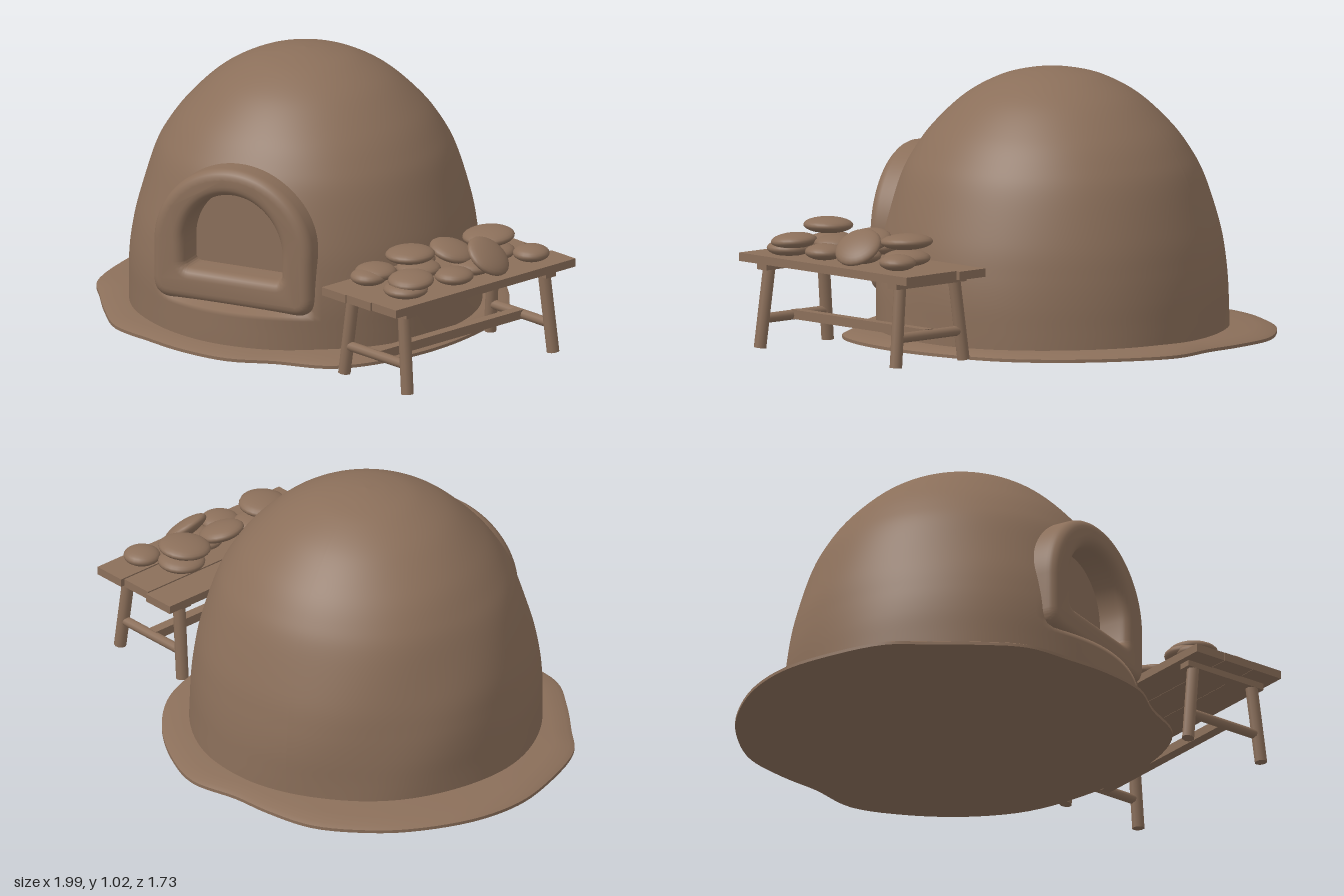
import * as THREE from 'three';
import { toCreasedNormals } from 'three/addons/utils/BufferGeometryUtils.js';

const clay = new THREE.MeshStandardMaterial({ color: 0x8b6f5a });
clay.name = 'brown clay';

const MOUTH_X = -0.185;

function add(parent, geometry, name) {
  const mesh = new THREE.Mesh(geometry, clay);
  mesh.name = name;
  parent.add(mesh);
  return mesh;
}

// Arch outlines: half width, sill height, spring height, top height
const HOLE = { w: 0.205, y0: 0.29, ys: 0.39, yt: 0.6 };
const MID = { w: 0.26, y0: 0.235, ys: 0.385, yt: 0.65 };
const OUTER = { w: 0.325, y0: 0.175, ys: 0.38, yt: 0.69 };
const RIM = { w: 0.335, y0: 0.16, ys: 0.38, yt: 0.705 };

function insideArch(a, x, y) {
  const dx = (x - MOUTH_X) / a.w;
  if (y < a.y0 || Math.abs(dx) > 1) return false;
  return y < a.ys || dx * dx + ((y - a.ys) / (a.yt - a.ys)) ** 2 < 1;
}

function traceArch(path, a, r) {
  path.moveTo(-a.w + r, a.y0);
  path.lineTo(a.w - r, a.y0);
  path.quadraticCurveTo(a.w, a.y0, a.w, a.y0 + r);
  path.lineTo(a.w, a.ys);
  path.absellipse(0, a.ys, a.w, a.yt - a.ys, 0, Math.PI, false, 0);
  path.lineTo(-a.w, a.y0 + r);
  path.quadraticCurveTo(-a.w, a.y0, -a.w + r, a.y0);
  return path;
}

// Dome with a recess pressed in behind the mouth
function domeGeometry() {
  const profile = [[0.668, 0.01], [0.667, 0.1], [0.665, 0.2], [0.655, 0.3], [0.632, 0.42], [0.575, 0.6],
    [0.525, 0.7], [0.452, 0.8], [0.335, 0.91], [0.21, 0.98], [0.1, 1.01], [0, 1.02]];
  const curve = new THREE.SplineCurve(profile.map(p => new THREE.Vector2(...p)));
  const points = curve.getSpacedPoints(80);
  points[80].x = 0;
  const geo = new THREE.LatheGeometry(points, 160, Math.PI);
  geo.translate(-0.175, 0, -0.045);
  const p = geo.attributes.position;
  for (let i = 0; i < p.count; i++) {
    let x = p.getX(i), y = p.getY(i), z = p.getZ(i);
    // gentle hand-moulded unevenness, fading at the crown
    const k = 1 + 0.006 * Math.sin(9 * x + 4 * y) * Math.sin(8 * z - 7 * y) * Math.min(1, (1.02 - y) * 4);
    x = -0.175 + (x + 0.175) * k;
    z = -0.045 + (z + 0.045) * k;
    if (z > 0 && insideArch(OUTER, x, y)) z = Math.min(z, 0.53);
    if (z > 0 && insideArch(MID, x, y)) z = Math.min(z, 0.45);
    p.setXYZ(i, x, y, z);
  }
  geo.computeVertexNormals();
  return geo;
}

// Thick rounded rim around the mouth
function rimGeometry() {
  const shape = traceArch(new THREE.Shape(), RIM, 0.08);
  shape.holes.push(traceArch(new THREE.Path(), HOLE, 0.03));
  const geo = new THREE.ExtrudeGeometry(shape, {
    depth: 0.235, curveSegments: 28, bevelThickness: 0.04, bevelSize: 0.04, bevelOffset: -0.04, bevelSegments: 5,
  });
  geo.translate(MOUTH_X, 0, 0.3);
  return toCreasedNormals(geo, 0.7);
}

// Irregular earth pad: one outline repeated as shrinking loops
function padGeometry() {
  const outline = [[-0.36, -0.86], [-0.16, -0.835], [0, -0.79], [0.2, -0.755], [0.36, -0.62], [0.5, -0.42],
    [0.575, -0.2], [0.565, 0.05], [0.5, 0.3], [0.37, 0.53], [0.25, 0.63], [0.05, 0.665], [-0.13, 0.715],
    [-0.33, 0.69], [-0.5, 0.63], [-0.68, 0.55], [-0.8, 0.4], [-0.9, 0.24], [-0.98, 0.1], [-1, -0.15],
    [-0.975, -0.35], [-0.88, -0.54], [-0.7, -0.72], [-0.55, -0.805]];
  const curve = new THREE.CatmullRomCurve3(outline.map(([x, z]) => new THREE.Vector3(x, 0, z)), true);
  const n = 120, loop = curve.getPoints(n).slice(0, n);
  const rings = [[0, 0], [1, 0], [1, 0.012], [0.975, 0.022], [0.9, 0.03], [0.75, 0.04], [0, 0.04]];
  const pos = [], index = [];
  rings.forEach(([s, y]) => loop.forEach(v =>
    pos.push(-0.2 + (v.x + 0.2) * s, y, -0.06 + (v.z + 0.06) * s)));
  for (let r = 0; r < rings.length - 1; r++) {
    for (let i = 0; i < n; i++) {
      const a = r * n + i, b = r * n + (i + 1) % n;
      index.push(a, a + n, b, b, a + n, b + n);
    }
  }
  const geo = new THREE.BufferGeometry();
  geo.setAttribute('position', new THREE.Float32BufferAttribute(pos, 3));
  geo.setIndex(index);
  return toCreasedNormals(geo, 0.6);
}

// Pole between two points
function pole(parent, from, to, radius, name) {
  const a = new THREE.Vector3(...from), b = new THREE.Vector3(...to);
  const dir = b.clone().sub(a);
  const mesh = add(parent, new THREE.CylinderGeometry(radius, radius, dir.length(), 10), name);
  mesh.position.copy(a).add(b).multiplyScalar(0.5);
  mesh.quaternion.setFromUnitVectors(new THREE.Vector3(0, 1, 0), dir.normalize());
}

function createTable() {
  const table = new THREE.Group();
  table.name = 'table';
  // three rough planks of slightly different length
  [[-0.137, 0.93, 0], [0, 0.915, 0.006], [0.137, 0.925, -0.002]].forEach(([x, len, dz], i) => {
    const plank = add(table, new THREE.BoxGeometry(0.133, 0.032, len), 'plank');
    plank.position.set(x, 0.343 + (i - 1) * 0.002, dz);
  });
  for (const s of [-1, 1]) {
    const batten = add(table, new THREE.BoxGeometry(0.36, 0.03, 0.05), 'batten');
    batten.position.set(0, 0.318, s * 0.36);
    for (const t of [-1, 1]) {
      pole(table, [t * 0.175, 0.004, s * 0.375], [t * 0.138, 0.33, s * 0.36], 0.024, 'leg');
    }
    pole(table, [-0.165, 0.115, s * 0.37], [0.165, 0.115, s * 0.37], 0.019, 'endRail');
  }
  const stretcher = add(table, new THREE.BoxGeometry(0.04, 0.035, 0.74), 'stretcher');
  stretcher.position.y = 0.118;
  table.position.set(0.63, 0, 0.363);
  table.rotation.y = -0.365;
  return table;
}

// Round loaves: x, y, z, radius, tilt about x, tilt about z
function createLoaves() {
  const loaves = new THREE.Group();
  loaves.name = 'loaves';
  const list = [
    [0.7, 0.392, 0.14, 0.09, 0, 0], [0.69, 0.452, 0.145, 0.1, 0.05, 0.04],
    [0.85, 0.395, 0.105, 0.07, 0, 0], [0.77, 0.43, 0.31, 0.092, 0.1, -0.7],
    [0.71, 0.39, 0.33, 0.08, 0, 0], [0.63, 0.44, 0.335, 0.088, 0, -0.3],
    [0.49, 0.395, 0.36, 0.075, 0, 0], [0.71, 0.395, 0.48, 0.075, 0, 0],
    [0.555, 0.475, 0.54, 0.095, 0, 0.03], [0.57, 0.41, 0.5, 0.085, 0, 0],
    [0.43, 0.4, 0.58, 0.08, 0, 0], [0.42, 0.39, 0.62, 0.07, 0, 0],
    [0.615, 0.415, 0.655, 0.088, 0.08, 0], [0.605, 0.385, 0.68, 0.085, 0, 0],
  ];
  for (const [x, y, z, r, rx, rz] of list) {
    const loaf = add(loaves, new THREE.SphereGeometry(r, 24, 14), 'loaf');
    loaf.scale.y = 0.031 / r;
    loaf.position.set(x, y, z);
    loaf.rotation.set(rx, 0, rz);
  }
  return loaves;
}

export function createModel() {
  const model = new THREE.Group();
  model.name = 'clayOvenWithBreadTable';
  add(model, padGeometry(), 'groundPad');
  add(model, domeGeometry(), 'dome');
  add(model, rimGeometry(), 'mouthRim');
  model.add(createTable(), createLoaves());
  return model;
}
